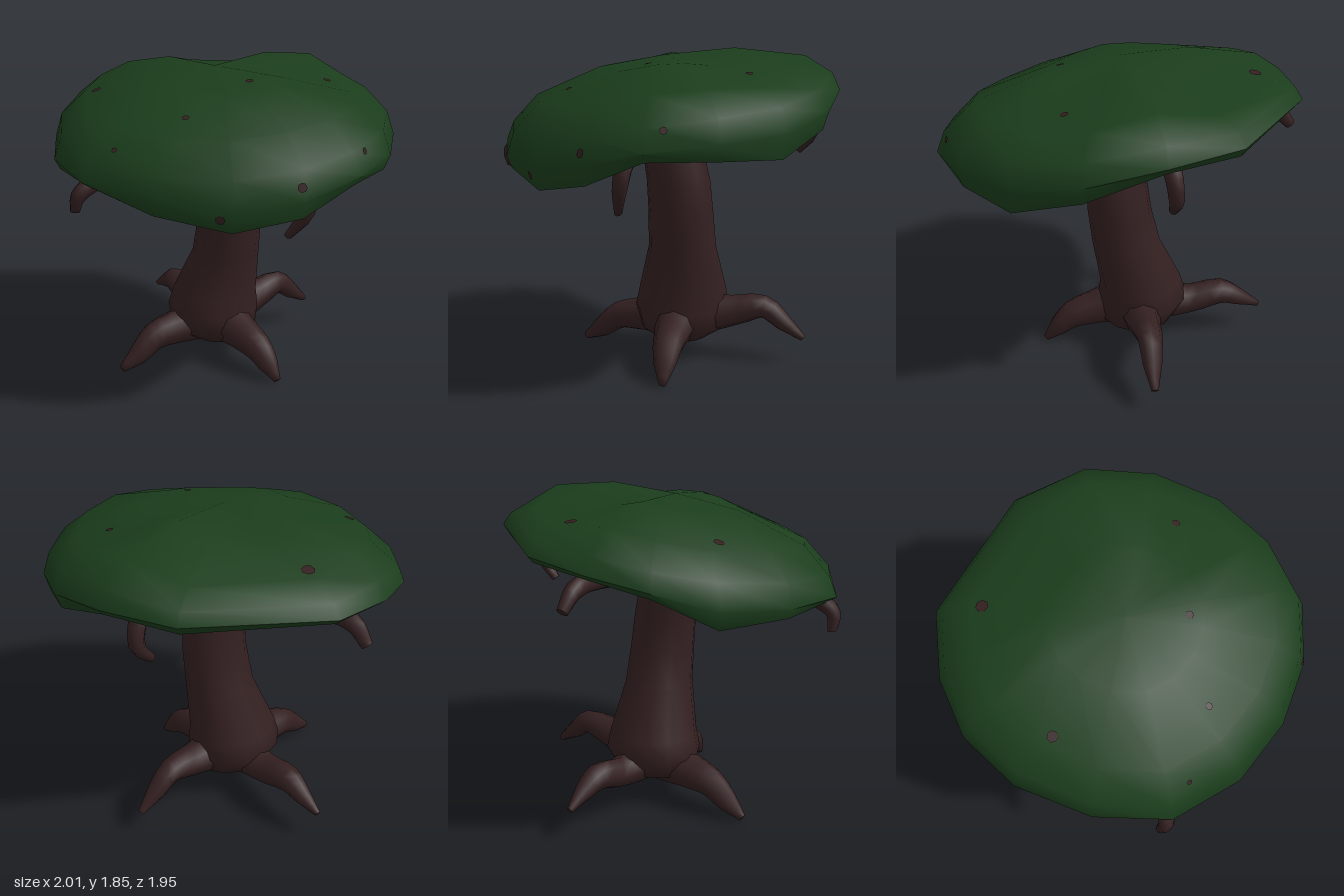
import * as THREE from 'three';
import { toCreasedNormals } from 'three/addons/utils/BufferGeometryUtils.js';

const bark = new THREE.MeshStandardMaterial({ color: 0x342021 });
bark.name = 'dark bark';
const leaf = new THREE.MeshStandardMaterial({ color: 0x1b3d1c });
leaf.name = 'forest green';

const V = (x, y, z) => new THREE.Vector3(x, y, z);

// Skin a list of equally long closed rings
function loft(rings, crease) {
  const n = rings[0].length, pos = [], idx = [];
  rings.forEach(r => r.forEach(p => pos.push(p.x, p.y, p.z)));
  for (let i = 0; i < rings.length - 1; i++) {
    for (let j = 0; j < n; j++) {
      const a = i * n + j, b = i * n + (j + 1) % n;
      idx.push(a, b, a + n, b, b + n, a + n);
    }
  }
  const g = new THREE.BufferGeometry();
  g.setAttribute('position', new THREE.Float32BufferAttribute(pos, 3));
  g.setIndex(idx);
  return toCreasedNormals(g, crease);
}

// Tapered limb through [x, y, z, radius] points, closed at both ends
function limb(points, sides = 8, steps = 12) {
  const curve = new THREE.CatmullRomCurve3(points.map(p => V(p[0], p[1], p[2])));
  const last = points.length - 1;
  const d = curve.points[last].clone().sub(curve.points[0]);
  const side = V(d.z, 0, -d.x).normalize();
  const rings = [];
  for (let i = 0; i <= steps; i++) {
    const t = i / steps, k = Math.min(Math.floor(t * last), last - 1);
    const r = THREE.MathUtils.lerp(points[k][3], points[k + 1][3], t * last - k);
    const c = curve.getPoint(t), up = curve.getTangent(t).cross(side).normalize();
    const ring = [];
    for (let j = 0; j < sides; j++) {
      const a = j / sides * Math.PI * 2;
      ring.push(c.clone().addScaledVector(side, r * Math.cos(a)).addScaledVector(up, r * Math.sin(a)));
    }
    rings.push(ring);
  }
  rings.unshift(rings[0].map(() => curve.getPoint(0)));
  rings.push(rings[0].map(() => curve.getPoint(1)));
  return loft(rings, 1.3);
}

// Leaning trunk: [y, centre x, centre z, radius x, radius z]
function trunkGeometry() {
  const sections = [
    [0.12, -0.07, -0.08, 0, 0], [0.13, -0.07, -0.08, 0.14, 0.15], [0.19, -0.1, -0.08, 0.23, 0.25],
    [0.31, -0.13, -0.075, 0.27, 0.285], [0.42, -0.12, -0.08, 0.245, 0.265], [0.7, -0.03, -0.1, 0.2, 0.2],
    [0.92, 0.01, -0.1, 0.185, 0.19], [1.1, 0.025, -0.09, 0.175, 0.185], [1.3, 0.015, -0.05, 0.175, 0.175],
    [1.48, 0.02, -0.03, 0.15, 0.155], [1.59, 0.03, -0.02, 0.11, 0.11], [1.61, 0.03, -0.02, 0, 0],
  ];
  return loft(sections.map(([y, cx, cz, rx, rz]) => {
    const ring = [];
    for (let j = 0; j < 14; j++) {
      const a = j / 14 * Math.PI * 2;
      ring.push(V(cx + rx * Math.cos(a), y, cz - rz * Math.sin(a)));
    }
    return ring;
  }), 1.2);
}

// Tilted, uneven hollow cap: outline points [x, z, height of lower lip, fullness]
function canopyGeometry() {
  const outline = [
    [-0.13, -0.98, 1.59, 1], [0.27, -0.96, 1.44, 0.75], [0.62, -0.8, 1.32, 0.68], [0.87, -0.52, 1.33, 0.95],
    [1, -0.18, 1.33, 1.08], [0.97, 0.14, 1.2, 1.05], [0.81, 0.46, 1.14, 1], [0.53, 0.75, 1.21, 1.05],
    [0.15, 0.93, 1.31, 1.12], [-0.26, 0.88, 1.3, 1.05], [-0.64, 0.69, 1.3, 0.95], [-0.87, 0.44, 1.47, 0.95],
    [-0.97, 0.14, 1.54, 1], [-0.97, -0.22, 1.58, 0.65], [-0.52, -0.83, 1.59, 0.5],
  ].reverse();
  // the effect of fullness fades towards the middle
  const ring = (s, lift, lip = 0) => outline.map(([x, z, low, full]) => {
    const plane = 1.5 - 0.115 * x * s - 0.147 * z * s;
    const fade = 1 + (full - 1) * Math.min(1, s * 1.25);
    return V(x * s, THREE.MathUtils.lerp(plane + lift * fade, low, lip), z * s);
  });
  return loft([
    ring(0, 0.27), ring(0.4, 0.235), ring(0.76, 0.125), ring(0.925, 0.01, 0.5), // underside
    ring(0.97, 0, 1), ring(1, 0, 0.45), // lip and widest edge
    ring(0.955, 0.085, 0.1), ring(0.8, 0.19), ring(0.4, 0.295), ring(0, 0.32), // top
  ], 0.95);
}

export function createModel() {
  const tree = new THREE.Group();
  tree.name = 'tree';
  const add = (name, geometry, material) => {
    const m = new THREE.Mesh(geometry, material);
    m.name = name;
    tree.add(m);
    return m;
  };

  add('trunk', trunkGeometry(), bark);
  const canopy = add('canopy', canopyGeometry(), leaf);

  // Four spreading roots
  const roots = {
    rightRoot: [[-0.15, 0.26, -0.09, 0.14], [-0.42, 0.245, -0.1, 0.09], [-0.62, 0.295, -0.11, 0.078],
      [-0.73, 0.255, -0.12, 0.055], [-0.86, 0.19, -0.12, 0.018]],
    backRoot: [[-0.1, 0.26, -0.15, 0.14], [-0.11, 0.3, -0.4, 0.095], [-0.12, 0.335, -0.58, 0.072],
      [-0.12, 0.25, -0.7, 0.055], [-0.12, 0.16, -0.82, 0.02]],
    frontRoot: [[-0.12, 0.24, 0, 0.14], [-0.14, 0.215, 0.2, 0.105], [-0.15, 0.19, 0.34, 0.085],
      [-0.15, 0.1, 0.46, 0.062], [-0.16, 0.03, 0.57, 0.022]],
    leftRoot: [[0, 0.25, -0.08, 0.14], [0.16, 0.215, -0.09, 0.105], [0.3, 0.175, -0.1, 0.085],
      [0.39, 0.1, -0.11, 0.062], [0.47, 0.02, -0.12, 0.02]],
  };
  for (const name in roots) add(name, limb(roots[name]), bark);

  // Four hooked branches below the canopy
  const branches = {
    rightBranch: [[0, 1.42, -0.04, 0.08], [-0.35, 1.43, -0.04, 0.06], [-0.7, 1.47, -0.02, 0.055],
      [-0.89, 1.46, 0, 0.048], [-0.985, 1.37, 0, 0.03]],
    backBranch: [[0.02, 1.5, -0.05, 0.08], [-0.06, 1.56, -0.32, 0.06], [-0.14, 1.6, -0.62, 0.055],
      [-0.18, 1.52, -0.78, 0.05], [-0.2, 1.38, -0.82, 0.042], [-0.2, 1.27, -0.74, 0.025]],
    frontBranch: [[0.04, 1.42, 0, 0.08], [0.07, 1.4, 0.3, 0.06], [0.09, 1.37, 0.6, 0.055],
      [0.12, 1.31, 0.84, 0.05], [0.12, 1.25, 0.93, 0.042], [0.09, 1.16, 0.94, 0.025]],
    leftBranch: [[0.05, 1.46, -0.05, 0.08], [0.3, 1.43, -0.04, 0.06], [0.58, 1.4, -0.03, 0.055],
      [0.79, 1.3, -0.02, 0.05], [0.81, 1.17, 0, 0.042], [0.72, 1.03, 0.04, 0.022]],
  };
  for (const name in branches) add(name, limb(branches[name], 8, 15), bark);

  // Twig ends lying flat on the leaves, found by casting inward: [start, direction, radius]
  const down = V(0, -1, 0), inward = V(-1, 0, 0), backward = V(0, 0, -1);
  [
    [V(0.32, 3, -0.55), down, 0.022], [V(0.32, 3, 0), down, 0.022], [V(0.37, 3, 0.44), down, 0.02],
    [V(-0.41, 3, 0.53), down, 0.03], [V(-0.71, 3, -0.16), down, 0.035], [V(3, 1.48, -0.26), inward, 0.02],
    [V(3, 1.36, 0.15), inward, 0.025], [V(3, 1.215, 0.5), inward, 0.025], [V(0.24, 1.49, 3), backward, 0.015],
  ].forEach(([start, direction, radius]) => {
    const hit = new THREE.Raycaster(start, direction).intersectObject(canopy)[0];
    const twig = add('twigEnd', new THREE.CircleGeometry(radius, 7), bark);
    twig.position.copy(hit.point).addScaledVector(hit.face.normal, 0.006);
    twig.lookAt(twig.position.clone().add(hit.face.normal));
  });

  return tree;
}
